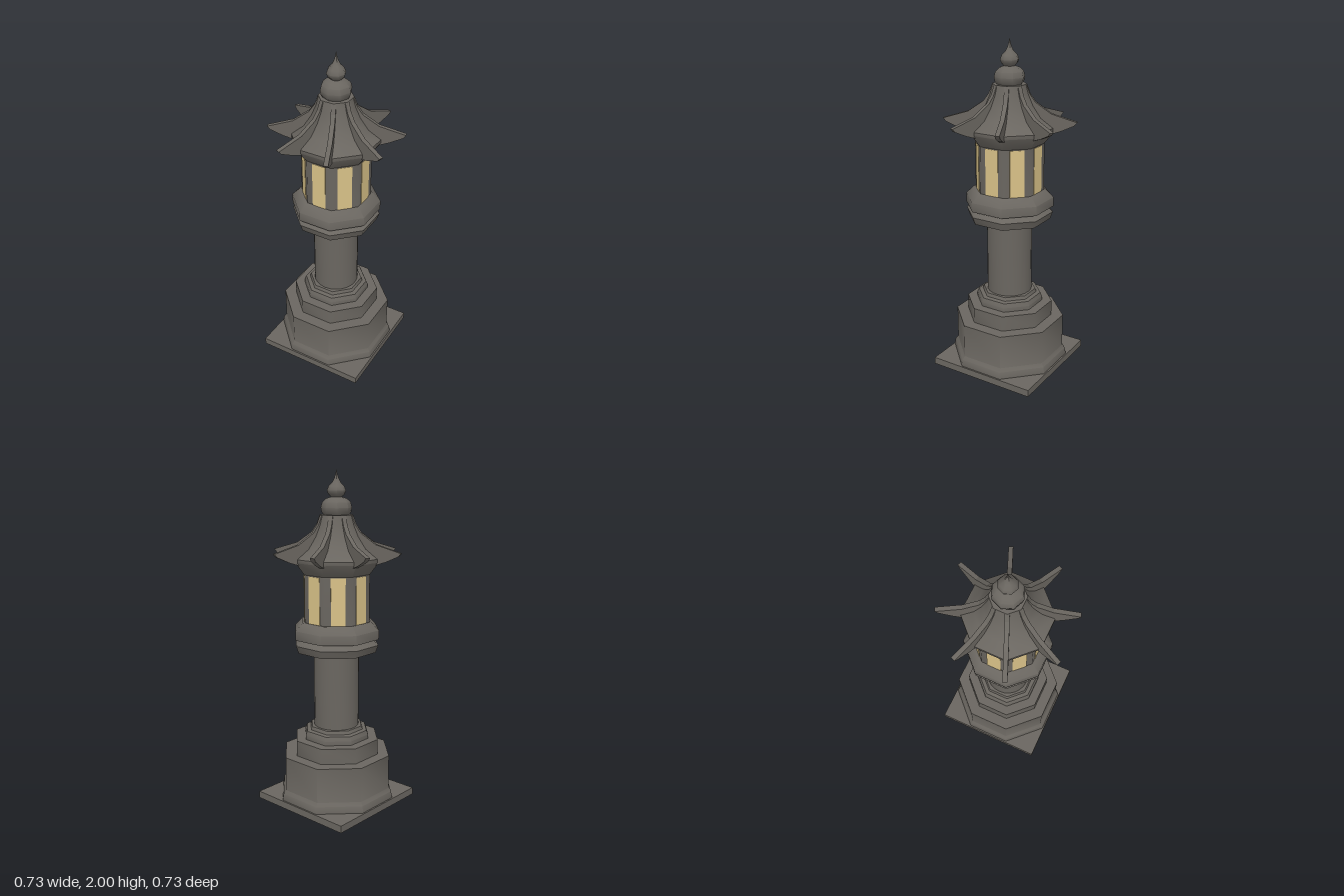
import * as THREE from 'three';
import { toCreasedNormals } from 'three/addons/utils/BufferGeometryUtils.js';

const APOTHEM = Math.cos(Math.PI / 8);

export function createModel() {
  const model = new THREE.Group();
  model.name = 'stoneLantern';

  const stone = new THREE.MeshStandardMaterial({ color: 0x6a6660, side: THREE.DoubleSide });
  stone.name = 'stone';
  const glow = new THREE.MeshStandardMaterial({ color: 0xd9c288 });
  glow.name = 'windowGold';

  const add = (name, geometry, material = stone, parent = model) => {
    const mesh = new THREE.Mesh(geometry, material);
    mesh.name = name;
    parent.add(mesh);
    return mesh;
  };

  // Turned part from [radius, height] pairs, bottom to top
  const turned = (name, profile, sides, start = 0, scale = 1) => {
    const points = profile.map(([r, y]) => new THREE.Vector2(r * scale, y));
    const geometry = new THREE.LatheGeometry(points, sides, start);
    return add(name, toCreasedNormals(geometry.toNonIndexed(), 0.82));
  };
  // Octagonal part with flats facing the axes; radii are measured to the flats
  const octagon = (name, profile) => turned(name, profile, 8, Math.PI / 8, 1 / APOTHEM);

  // Square ground slab, open in the middle
  const slab = new THREE.Shape([
    new THREE.Vector2(-0.34, -0.34), new THREE.Vector2(0.34, -0.34),
    new THREE.Vector2(0.34, 0.34), new THREE.Vector2(-0.34, 0.34),
  ]);
  const opening = [];
  for (let i = 0; i < 8; i++) {
    const a = -(i + 0.5) * Math.PI / 4;
    opening.push(new THREE.Vector2(Math.cos(a), Math.sin(a)).multiplyScalar(0.325 / APOTHEM));
  }
  slab.holes.push(new THREE.Path(opening));
  const slabGeometry = new THREE.ExtrudeGeometry(slab, { depth: 0.043, bevelEnabled: false });
  slabGeometry.rotateX(-Math.PI / 2);
  add('groundSlab', slabGeometry);

  // Hollow stepped pedestal
  octagon('pedestal', [
    [0.325, 0.005], [0.332, 0.05], [0.326, 0.085], [0.31, 0.105], [0.31, 0.315],
    [0.243, 0.315], [0.243, 0.41], [0.188, 0.41], [0.188, 0.435], [0.178, 0.46],
    [0.155, 0.465], [0.148, 0.485], [0.1, 0.485],
  ]);

  // Round column
  turned('column', [[0.135, 0.48], [0.135, 0.955]], 24);

  // Capital and platform under the lantern chamber
  octagon('capital', [
    [0, 0.95], [0.225, 0.95], [0.24, 0.995], [0.205, 1.03],
    [0.242, 1.03], [0.242, 1.085], [0.2, 1.13], [0, 1.13],
  ]);

  // Lantern chamber with a window on each side
  octagon('chamber', [[0.188, 1.125], [0.188, 1.41]]);
  const windows = new THREE.Group();
  windows.name = 'windows';
  model.add(windows);
  for (let i = 0; i < 8; i++) {
    const a = i * Math.PI / 4;
    const pane = add('window', new THREE.BoxGeometry(0.084, 0.274, 0.006), glow, windows);
    pane.position.set(Math.sin(a) * 0.188, 1.267, Math.cos(a) * 0.188);
    pane.rotation.y = a;
  }

  // Concave roof with flared eaves
  octagon('roof', [
    [0, 1.405], [0.185, 1.405], [0.237, 1.48], [0.237, 1.5], [0.172, 1.555],
    [0.13, 1.625], [0.105, 1.69], [0.092, 1.745], [0, 1.745],
  ]);

  // Upswept ribs along the roof corners
  const ribShape = new THREE.Shape([
    [0.08, 1.69], [0.13, 1.59], [0.2, 1.5], [0.24, 1.465], [0.3, 1.485], [0.372, 1.518],
    [0.388, 1.537], [0.24, 1.582], [0.15, 1.645], [0.118, 1.69], [0.098, 1.743],
  ].map(([x, y]) => new THREE.Vector2(x, y)));
  const ribGeometry = new THREE.ExtrudeGeometry(ribShape, { depth: 0.026, bevelEnabled: false });
  ribGeometry.translate(0, 0, -0.013);
  const ribs = new THREE.Group();
  ribs.name = 'roofRibs';
  model.add(ribs);
  for (let i = 0; i < 8; i++) {
    add('roofRib', ribGeometry, stone, ribs).rotation.y = (i + 0.5) * Math.PI / 4;
  }

  // Double-bulb finial with a spike
  turned('finial', [
    [0.075, 1.745], [0.085, 1.76], [0.09, 1.785], [0.082, 1.815], [0.06, 1.835],
    [0.032, 1.845], [0.047, 1.86], [0.055, 1.88], [0.045, 1.905], [0.025, 1.925],
    [0.012, 1.95], [0.005, 1.975], [0, 2],
  ], 8);

  return model;
}
